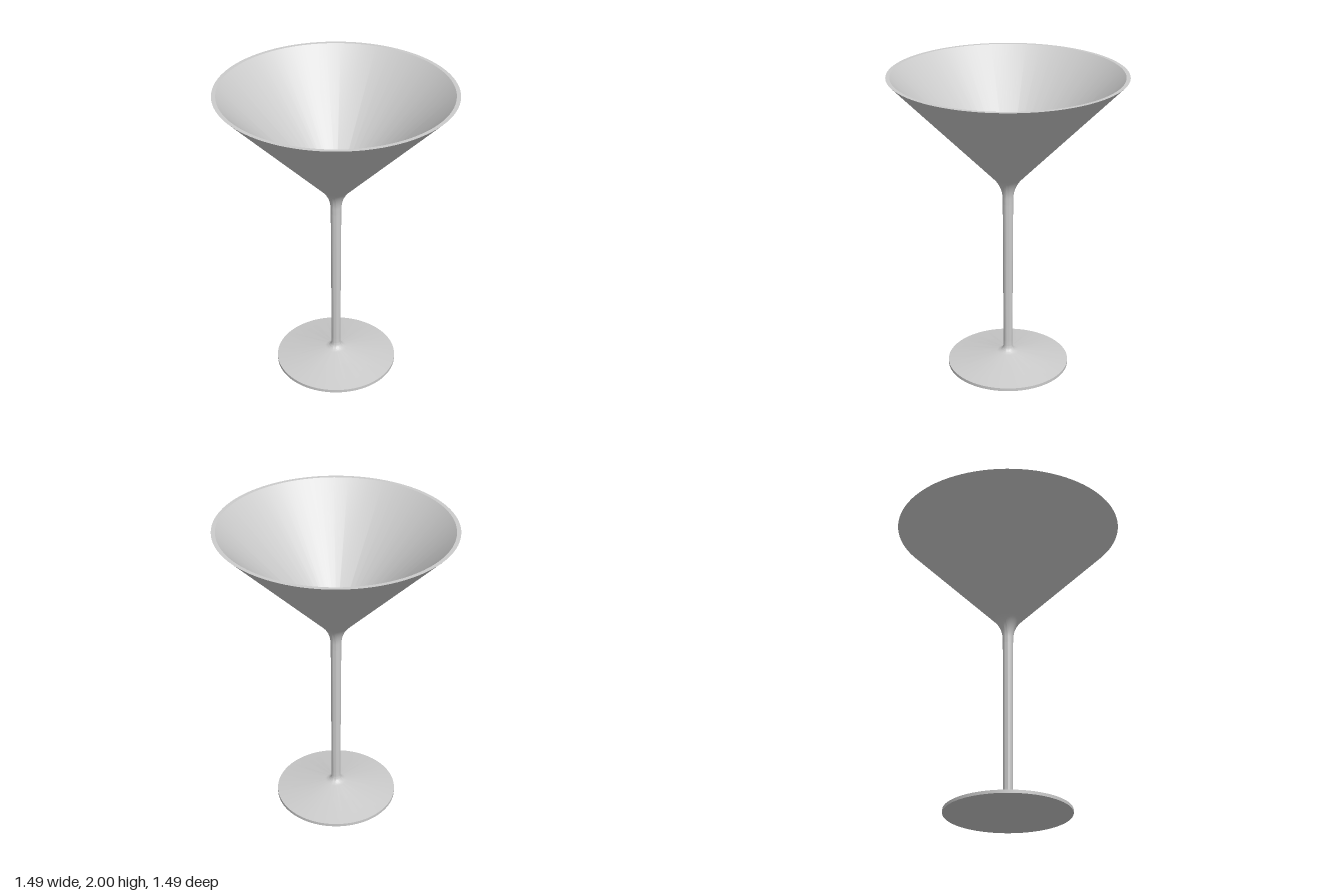
import * as THREE from 'three';
import { toCreasedNormals } from 'three/addons/utils/BufferGeometryUtils.js';

const SEGMENTS = 96;
const v = (x, y) => new THREE.Vector2(x, y);

// Points of a rounded corner from a to b, pulled towards c
const fillet = (a, c, b, n = 10) => new THREE.QuadraticBezierCurve(a, c, b).getPoints(n);

export function createModel() {
  const group = new THREE.Group();
  const material = new THREE.MeshStandardMaterial({ color: 0xcccccc });

  // Turn a profile (radius, height) around the y axis, keeping sharp edges
  function turn(name, points) {
    const geometry = toCreasedNormals(new THREE.LatheGeometry(points, SEGMENTS), 0.5);
    const mesh = new THREE.Mesh(geometry, material);
    mesh.name = name;
    group.add(mesh);
  }

  // Flat disc with a thin edge, sloping up into the stem
  turn('foot', [
    v(0, 0), v(0.4, 0), v(0.4, 0.02),
    ...fillet(v(0.075, 0.077), v(0.032, 0.085), v(0.03, 0.125)),
    v(0.03, 0.16),
  ]);

  // Slender stem, slightly wider towards the bowl
  turn('stem', [v(0.03, 0.16), v(0.034, 1.15)]);

  // Flared outside, flat rim and conical inside with a small rounded bottom
  turn('bowl', [
    v(0.034, 1.15),
    ...fillet(v(0.035, 1.19), v(0.037, 1.267), v(0.095, 1.328), 14),
    v(0.745, 2), v(0.72, 2),
    ...fillet(v(0.07, 1.335), v(0.03, 1.294), v(0, 1.292), 8),
  ]);

  return group;
}
